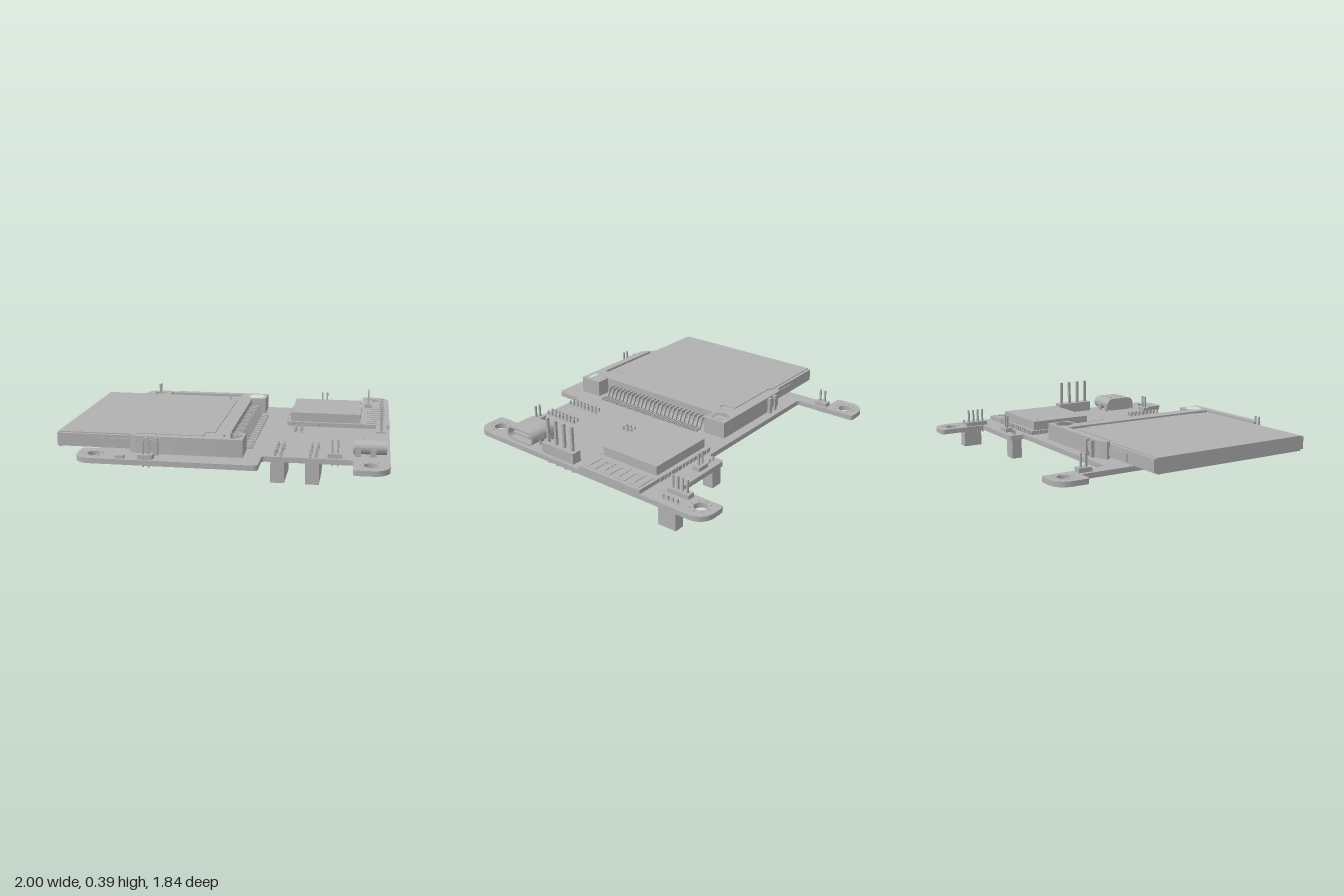
import * as THREE from 'three';
import { toCreasedNormals } from 'three/addons/utils/BufferGeometryUtils.js';

const grey = new THREE.MeshStandardMaterial({ color: 0xb0b0b0 });
grey.name = 'plain grey';

const TOP = 0.16, BOTTOM = 0.128; // circuit board faces

export function createModel() {
  const model = new THREE.Group();
  model.name = 'circuitBoardAssembly';

  const group = (name) => {
    const g = new THREE.Group();
    g.name = name;
    model.add(g);
    return g;
  };
  const add = (parent, name, geometry) => {
    const m = new THREE.Mesh(geometry, grey);
    m.name = name;
    parent.add(m);
    return m;
  };
  // box given by its limits on each axis
  const box = (parent, name, x0, x1, y0, y1, z0, z1) => {
    const m = add(parent, name, new THREE.BoxGeometry(x1 - x0, y1 - y0, z1 - z0));
    m.position.set((x0 + x1) / 2, (y0 + y1) / 2, (z0 + z1) / 2);
    return m;
  };
  const post = (parent, name, x, z, y0, y1, w = 0.014) =>
    box(parent, name, x - w / 2, x + w / 2, y0, y1, z - w / 2, z + w / 2);

  // closed outline from [x, z, cornerRadius] points
  const outline = (pts) => {
    const shape = new THREE.Shape();
    pts.forEach(([x, z, r = 0], i) => {
      const p = new THREE.Vector2(x, -z);
      const a = pts[(i + pts.length - 1) % pts.length];
      const b = pts[(i + 1) % pts.length];
      const toA = new THREE.Vector2(a[0], -a[1]).sub(p).normalize();
      const toB = new THREE.Vector2(b[0], -b[1]).sub(p).normalize();
      const at = (dir, d) => p.clone().addScaledVector(dir, d);
      const s = at(toA, r), e = at(toB, r);
      if (i === 0) shape.moveTo(s.x, s.y); else shape.lineTo(s.x, s.y);
      if (r > 0) {
        const c1 = at(toA, r * 0.45), c2 = at(toB, r * 0.45);
        shape.bezierCurveTo(c1.x, c1.y, c2.x, c2.y, e.x, e.y);
      }
    });
    shape.closePath();
    return shape;
  };
  const circle = (x, z, r) => new THREE.Path().absarc(x, -z, r, 0, Math.PI * 2, true);
  const hexagon = (x, z, r) => new THREE.Path().setFromPoints(
    [0, 1, 2, 3, 4, 5, 0].map((i) => new THREE.Vector2(
      x + r * Math.cos(i * Math.PI / 3), -z - r * Math.sin(i * Math.PI / 3))));
  // flat slab from a plan shape
  const slab = (parent, name, shape, y0, y1, curveSegments = 8) => {
    const g = new THREE.ExtrudeGeometry(shape, { depth: y1 - y0, bevelEnabled: false, curveSegments });
    g.rotateX(-Math.PI / 2).translate(0, y0, 0);
    return add(parent, name, toCreasedNormals(g, 0.6));
  };

  // circuit board with mounting ears
  const board = outline([
    [-0.85, 0.92, 0.1], [0.25, 0.92, 0.025], [0.25, 0.73, 0.02], [0.79, 0.73, 0.02],
    [0.79, 0.92, 0.02], [1, 0.92, 0.1], [1, -0.92, 0.1], [0.81, -0.92, 0.02],
    [0.81, -0.61], [0.38, -0.61, 0.02], [0.38, -0.5, 0.02], [-0.66, -0.5, 0.02],
    [-0.66, -0.92, 0.02], [-0.85, -0.92, 0.1], [-0.85, -0.71, 0.025], [-0.75, -0.71, 0.02],
    [-0.75, 0.71, 0.02], [-0.85, 0.71, 0.025],
  ]);
  for (const x of [-0.745, 0.89]) for (const z of [-0.82, 0.815]) {
    board.holes.push(circle(x, z, 0.042));
    for (let i = 0; i < 8; i++) {
      const a = i * Math.PI / 4;
      board.holes.push(circle(x + 0.06 * Math.cos(a), z + 0.06 * Math.sin(a), 0.006));
    }
  }
  slab(model, 'circuitBoard', board, BOTTOM, TOP);

  // memory card with raised rim lines
  const card = group('memoryCard');
  box(card, 'cardBody', -1, -0.03, 0.175, 0.255, -0.39, 0.74);
  slab(card, 'cardCover', outline([
    [-1, -0.37], [-0.53, -0.37], [-0.5, -0.35], [-0.105, -0.35], [-0.105, -0.26], [-0.05, -0.26],
    [-0.05, 0.61], [-0.105, 0.61], [-0.105, 0.695], [-0.5, 0.695], [-0.53, 0.72], [-1, 0.72],
  ]), 0.25, 0.261);
  box(card, 'cardLip', -1, -0.98, 0.165, 0.18, -0.37, 0.72);

  // card socket: side rails, back wall and nut pockets
  const socket = group('cardSocket');
  const frame = outline([
    [-0.54, -0.39], [-0.54, -0.41], [-0.49, -0.44], [0.145, -0.44], [0.145, -0.285],
    [0.05, -0.285], [0.05, 0.635], [0.145, 0.635], [0.145, 0.79], [-0.49, 0.79],
    [-0.54, 0.76], [-0.54, 0.74], [-0.04, 0.74], [-0.04, -0.39],
  ]);
  for (const z of [-0.36, 0.705]) {
    frame.holes.push(hexagon(0.075, z, 0.062));
    const nut = outline([[0.005, z - 0.065], [0.142, z - 0.065], [0.142, z + 0.065], [0.005, z + 0.065]]);
    nut.holes.push(circle(0.075, z, 0.035));
    slab(socket, 'nut', nut, TOP + 0.005, 0.235, 12);
    const peg = add(socket, 'socketPeg', new THREE.CylinderGeometry(0.026, 0.026, 0.03, 16));
    peg.position.set(0.035, BOTTOM - 0.01, z);
  }
  slab(socket, 'socketFrame', frame, TOP + 0.003, 0.27);
  for (const [z, s] of [[-0.44, -1], [0.79, 1]]) {
    for (const x of [-0.43, -0.37]) {
      box(socket, 'latch', x - 0.012, x + 0.012, 0.15, 0.265, Math.min(z, z + s * 0.022), Math.max(z, z + s * 0.022));
    }
    box(socket, 'latchBridge', -0.42, -0.38, 0.19, 0.25, z - 0.011, z + 0.011);
    const inner = z - s * 0.05;
    box(socket, 'guideRail', -0.73, -0.54, 0.185, 0.235, inner - 0.006, inner + 0.006);
  }

  // bent contacts, two staggered rows
  const contacts = group('socketContacts');
  const contactGeometry = [0, 0.02].map((d) => {
    const s = new THREE.Shape([
      [0.045, 0.235 - d], [0.105 - d, 0.235 - d], [0.13 - d, 0.172], [0.175, 0.172],
      [0.175, TOP], [0.12 - d, TOP], [0.095 - d, 0.223 - d], [0.045, 0.223 - d],
    ].map(([x, y]) => new THREE.Vector2(x, y)));
    return new THREE.ExtrudeGeometry(s, { depth: 0.009, bevelEnabled: false });
  });
  for (let i = 0; i < 50; i++) {
    add(contacts, 'contact', contactGeometry[i % 2]).position.z = -0.24 + i * 0.0168;
  }

  // wireless module: carrier, shield, edge pads and folded antenna
  const radio = group('radioModule');
  box(radio, 'carrier', 0.33, 1, TOP, 0.186, -0.47, 0);
  box(radio, 'shield', 0.35, 0.81, 0.186, 0.245, -0.44, -0.025);
  const dot = add(radio, 'orientationDot', new THREE.CylinderGeometry(0.008, 0.008, 0.003, 12));
  dot.position.set(0.405, 0.246, -0.385);
  for (let i = 0; i < 14; i++) {
    const x = 0.365 + i * 0.034;
    for (const z of [-0.47, 0]) box(radio, 'edgePad', x - 0.009, x + 0.009, TOP, 0.189, z - 0.006, z + 0.006);
    if (i < 11) box(radio, 'edgePad', 0.324, 0.336, TOP, 0.189, -0.413 + i * 0.034, -0.395 + i * 0.034);
  }
  for (let i = 0; i < 8; i++) {
    const z = -0.44 + i * 0.057;
    box(radio, 'antennaArm', 0.85, 0.975, 0.186, 0.19, z - 0.009, z + 0.009);
    if (i < 7) {
      const x = i % 2 ? 0.85 : 0.957;
      box(radio, 'antennaTurn', x, x + 0.018, 0.186, 0.19, z, z + 0.057);
    }
  }

  // round-ended port opening toward +x
  const port = group('usbPort');
  const capsule = (Type, hw, hh) => {
    const s = new Type();
    s.absarc(hw - hh, 0, hh, -Math.PI / 2, Math.PI / 2, false);
    s.absarc(hh - hw, 0, hh, Math.PI / 2, Math.PI * 1.5, false);
    s.closePath();
    return s;
  };
  const portPiece = (name, shape, x0, x1) => {
    const g = new THREE.ExtrudeGeometry(shape, { depth: x1 - x0, bevelEnabled: false, curveSegments: 14 });
    g.rotateY(Math.PI / 2).translate(x0, 0.21, 0.533);
    add(port, name, toCreasedNormals(g, 0.6));
  };
  const shell = capsule(THREE.Shape, 0.115, 0.045);
  shell.holes.push(capsule(THREE.Path, 0.103, 0.033));
  portPiece('shell', shell, 0.785, 0.98);
  portPiece('backWall', capsule(THREE.Shape, 0.106, 0.036), 0.787, 0.84);
  box(port, 'tongue', 0.83, 0.965, 0.203, 0.217, 0.46, 0.606);
  for (const x of [0.81, 0.9]) for (const z of [0.42, 0.646]) {
    box(port, 'mountingTab', x - 0.018, x + 0.018, 0.1, 0.21, z - 0.006, z + 0.006);
  }
  for (const z of [0.48, 0.575]) box(port, 'springTab', 0.835, 0.855, 0.25, 0.257, z - 0.01, z + 0.01);

  // tall pin header
  const tall = group('tallPinHeader');
  box(tall, 'headerBody', 0.913, 0.978, TOP, 0.23, 0.07, 0.335);
  for (let i = 0; i < 4; i++) post(tall, 'pin', 0.945, 0.102 + i * 0.068, 0.085, 0.39, 0.017);

  // small pin headers: first pin x, z, step in x and z, count
  const headers = group('smallPinHeaders');
  for (const [x, z, dx, dz, n] of [
    [0.855, -0.7, 0, 0.034, 4], [0.527, -0.555, 0.034, 0, 2], [-0.7, -0.685, 0, 0.034, 2],
    [0.662, 0.685, 0.034, 0, 2], [-0.43, 0.88, 0.034, 0, 2],
  ]) {
    const ex = x + dx * (n - 1), ez = z + dz * (n - 1);
    box(headers, 'headerBody', x - 0.026, ex + 0.026, TOP, 0.187, z - 0.026, ez + 0.026);
    for (let i = 0; i < n; i++) post(headers, 'pin', x + dx * i, z + dz * i, 0.108, 0.27, 0.011);
  }

  // sockets hanging below, with pin tails through the board
  const sockets = group('undersideSockets');
  for (const [x, z, cols, rows, x0, x1, z0, z1] of [
    [0.325, 0.47, 2, 8, 0.302, 0.384, 0.46, 0.73], [0.532, 0.47, 2, 8, 0.508, 0.59, 0.46, 0.73],
    [0.396, 0.052, 2, 4, 0.372, 0.47, 0.038, 0.175], [0.945, -0.7, 1, 4, 0.912, 0.978, -0.712, -0.585],
    [0.418, -0.555, 2, 1, 0.385, 0.468, -0.59, -0.52],
  ]) {
    box(sockets, 'socketBody', x0, x1, 0, BOTTOM, z0, z1);
    for (let c = 0; c < cols; c++) for (let r = 0; r < rows; r++) {
      const px = x + c * 0.035, pz = z + r * 0.0337;
      add(sockets, 'solderRing', new THREE.CylinderGeometry(0.011, 0.011, 0.004, 10)).position.set(px, TOP + 0.002, pz);
      post(sockets, 'pinTail', px, pz, TOP, 0.186, 0.01);
      // contact slots marked on the open end
      box(sockets, 'slotRim', px - 0.006, px + 0.006, 0, 0.004, pz - 0.006, pz + 0.006);
    }
  }

  // small soldered components
  const chips = group('smallComponents');
  box(chips, 'chip', -0.595, -0.543, TOP, 0.178, 0.87, 0.902);
  for (const [x, z, w, d, y] of [
    [0.05, -0.335, 0.055, 0.03, 0.09], [0.76, -0.29, 0.05, 0.03, 0.09], [0.285, 0.08, 0.035, 0.04, 0.112],
    [0.02, 0.19, 0.05, 0.035, 0.112], [0.68, 0.39, 0.04, 0.04, 0.112], [-0.51, 0.35, 0.04, 0.025, 0.115],
    [0.75, -0.155, 0.05, 0.03, 0.112], [0.29, 0.18, 0.03, 0.04, 0.112],
  ]) box(chips, 'undersideChip', x - w / 2, x + w / 2, y, BOTTOM, z - d / 2, z + d / 2);

  return model;
}
